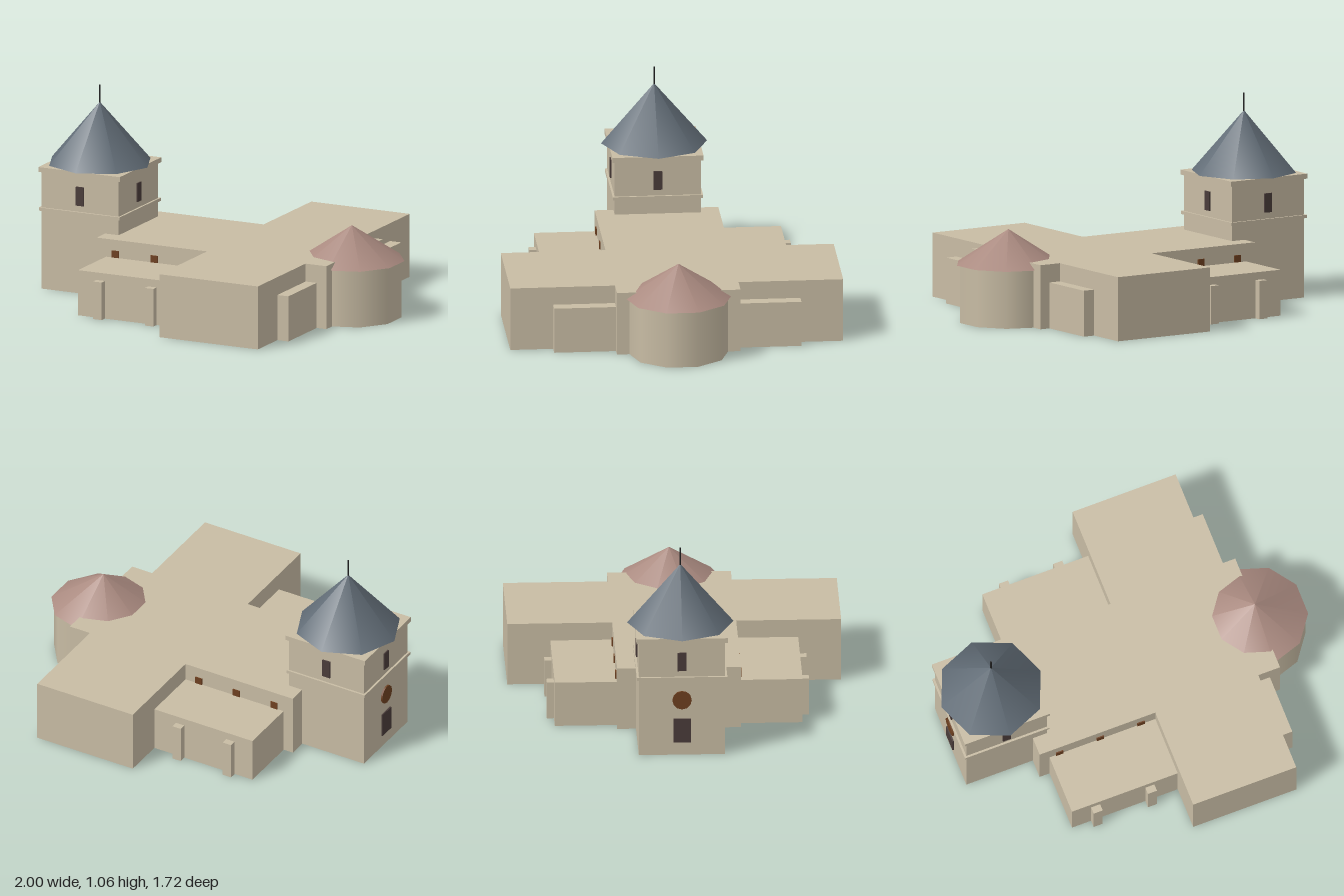
import * as THREE from 'three';

export function createModel() {
  const root = new THREE.Group();
  root.name = 'church';

  const mat = (name, color) => {
    const m = new THREE.MeshStandardMaterial({ color });
    m.name = name;
    return m;
  };
  const stone = mat('sandstone', 0xc8bca4);
  const slate = mat('slate', 0x626d77);
  const tile = mat('roofTile', 0xaa8a80);
  const dark = mat('darkOpening', 0x4a3c3a);
  const brown = mat('brownGlass', 0x6e4020);
  const iron = mat('iron', 0x222222);

  const add = (name, geometry, material, x, y, z, parent = root) => {
    const mesh = new THREE.Mesh(geometry, material);
    mesh.name = name;
    mesh.position.set(x, y, z);
    parent.add(mesh);
    return mesh;
  };
  // Box given by its limits on each axis
  const block = (name, material, x0, x1, y0, y1, z0, z1, parent) =>
    add(name, new THREE.BoxGeometry(x1 - x0, y1 - y0, z1 - z0), material,
      (x0 + x1) / 2, (y0 + y1) / 2, (z0 + z1) / 2, parent);

  // Main body
  block('nave', stone, -0.58, 0.75, 0, 0.335, -0.32, 0.32);
  block('transept', stone, 0.06, 0.63, 0, 0.335, -0.862, 0.862);

  // Aisles, buttresses and upper windows, mirrored on both sides
  for (const s of [1, -1]) {
    const side = new THREE.Group();
    side.name = s > 0 ? 'frontAisle' : 'backAisle';
    root.add(side);
    const strip = (name, m, x0, x1, y0, y1, a, b) =>
      block(name, m, x0, x1, y0, y1, Math.min(s * a, s * b), Math.max(s * a, s * b), side);
    strip('aisle', stone, -0.525, 0.694, 0, 0.24, 0.3, 0.64);
    for (const x of [-0.394, -0.094])
      strip('buttress', stone, x - 0.025, x + 0.025, 0, 0.2, 0.62, 0.677);
    for (const x of [-0.47, -0.245, -0.02])
      strip('upperWindow', brown, x - 0.02, x + 0.02, 0.241, 0.278, 0.318, 0.326);
  }

  // Ten-sided apse with its roof
  add('apse', new THREE.CylinderGeometry(0.26, 0.26, 0.3, 10), stone, 0.735, 0.15, 0);
  add('apseRoof', new THREE.ConeGeometry(0.275, 0.18, 10), tile, 0.735, 0.39, 0);

  // Tower, built around its own axis
  const tower = new THREE.Group();
  tower.name = 'tower';
  tower.position.x = -0.725;
  root.add(tower);
  const h = 0.223;
  block('towerShaft', stone, -h, h, 0, 0.63, -h, h, tower);
  block('stringCourse', stone, -0.234, 0.234, 0.416, 0.433, -0.234, 0.234, tower);
  block('cornice', stone, -0.236, 0.236, 0.622, 0.648, -0.236, 0.236, tower);
  add('spire', new THREE.ConeGeometry(0.275, 0.32, 8), slate, 0, 0.81, 0, tower);
  add('finial', new THREE.CylinderGeometry(0.004, 0.004, 0.1, 6), iron, 0, 1.01, 0, tower);

  // One belfry window on each face
  for (let i = 0; i < 4; i++) {
    const a = i * Math.PI / 2;
    const w = add('belfryWindow', new THREE.BoxGeometry(0.045, 0.1, 0.009), dark,
      Math.sin(a) * 0.2255, 0.516, Math.cos(a) * 0.2255, tower);
    w.rotation.y = a;
  }

  // West door and round window
  block('door', dark, -0.231, -0.222, 0.07, 0.2, -0.045, 0.045, tower);
  const rose = add('roundWindow', new THREE.CylinderGeometry(0.05, 0.05, 0.0095, 12), brown,
    -0.2275, 0.304, 0, tower);
  rose.rotation.z = Math.PI / 2;

  return root;
}
